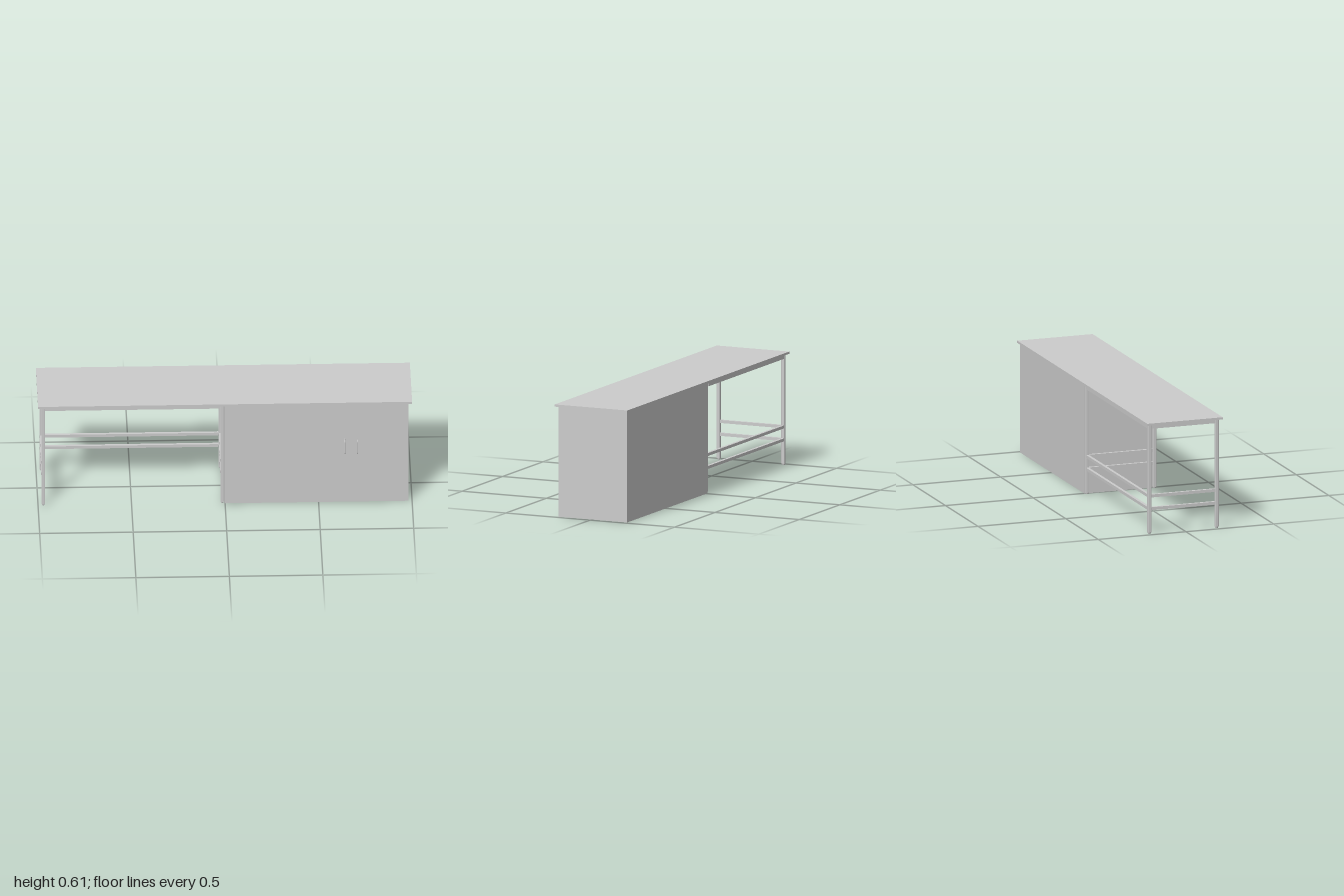
import * as THREE from 'three';

const material = new THREE.MeshStandardMaterial({ color: 0xcccccc, side: THREE.DoubleSide });

export function createModel() {
  const model = new THREE.Group();
  model.name = 'workbench';

  const add = (name, geometry, x, y, z, parent = model) => {
    const mesh = new THREE.Mesh(geometry, material);
    mesh.name = name;
    mesh.position.set(x, y, z);
    parent.add(mesh);
    return mesh;
  };
  const box = (name, w, h, d, x, y, z, parent) =>
    add(name, new THREE.BoxGeometry(w, h, d), x, y, z, parent);

  // Square tube with softened corners, standing along y from 0 to the given length
  const tube = (size, length) => {
    const h = size / 2, r = size * 0.2;
    const s = new THREE.Shape();
    s.moveTo(-h + r, -h);
    s.lineTo(h - r, -h);
    s.absarc(h - r, -h + r, r, -Math.PI / 2, 0);
    s.absarc(h - r, h - r, r, 0, Math.PI / 2);
    s.absarc(-h + r, h - r, r, Math.PI / 2, Math.PI);
    s.absarc(-h + r, -h + r, r, Math.PI, Math.PI * 1.5);
    return new THREE.ExtrudeGeometry(s, { depth: length, bevelEnabled: false, curveSegments: 3 })
      .rotateX(-Math.PI / 2);
  };

  // Worktop
  box('worktop', 2, 0.012, 0.43, 0, 0.606, -0.005);

  // Open frame: four legs, top rails, end stretchers and rear stretchers
  const frame = new THREE.Group();
  frame.name = 'frame';
  model.add(frame);
  const legSize = 0.02;
  const legX = [-0.972, -0.015], legZ = [0.185, -0.199];
  const midX = (legX[0] + legX[1]) / 2, midZ = (legZ[0] + legZ[1]) / 2;
  const spanX = legX[1] - legX[0] - legSize, spanZ = legZ[0] - legZ[1] - legSize;
  const railLevels = [0.138, 0.208];

  for (const x of legX) {
    for (const z of legZ) {
      add('leg', tube(legSize, 0.592), x, 0.008, z, frame);
      add('foot', new THREE.CylinderGeometry(0.009, 0.007, 0.008, 16), x, 0.004, z, frame);
    }
    box('endTopRail', 0.018, 0.022, spanZ, x, 0.589, midZ, frame);
    for (const y of railLevels) box('endStretcher', 0.016, 0.016, spanZ, x, y, midZ, frame);
  }
  for (const z of legZ) box('longTopRail', spanX, 0.022, 0.018, midX, 0.589, z, frame);
  for (const y of railLevels) box('rearStretcher', spanX, 0.016, 0.016, midX, y, legZ[1], frame);

  // Cabinet: thin sheet walls, open underneath
  const cabinet = new THREE.Group();
  cabinet.name = 'cabinet';
  model.add(cabinet);
  const x0 = -0.004, x1 = 0.98, z0 = -0.21, z1 = 0.197, wall = 0.006, height = 0.6;
  const w = x1 - x0, d = z1 - z0, cx = (x0 + x1) / 2, cz = (z0 + z1) / 2;
  box('frontPanel', w, height, wall, cx, height / 2, z1 - wall / 2, cabinet);
  box('backPanel', w, height, wall, cx, height / 2, z0 + wall / 2, cabinet);
  for (const x of [x0 + wall / 2, x1 - wall / 2])
    box('sidePanel', wall, height, d - 2 * wall, x, height / 2, cz, cabinet);

  // Bow handles with rounded bends
  const V = (y, z) => new THREE.Vector3(0, y, z);
  const low = 0.303, high = 0.383, out = 0.0225, r = 0.011;
  const path = new THREE.CurvePath();
  path.add(new THREE.LineCurve3(V(low, 0), V(low, out - r)));
  path.add(new THREE.QuadraticBezierCurve3(V(low, out - r), V(low, out), V(low + r, out)));
  path.add(new THREE.LineCurve3(V(low + r, out), V(high - r, out)));
  path.add(new THREE.QuadraticBezierCurve3(V(high - r, out), V(high, out), V(high, out - r)));
  path.add(new THREE.LineCurve3(V(high, out - r), V(high, 0)));
  for (const x of [0.64, 0.707])
    add('handle', new THREE.TubeGeometry(path, 60, 0.003, 10), x, 0, z1, cabinet);

  return model;
}
